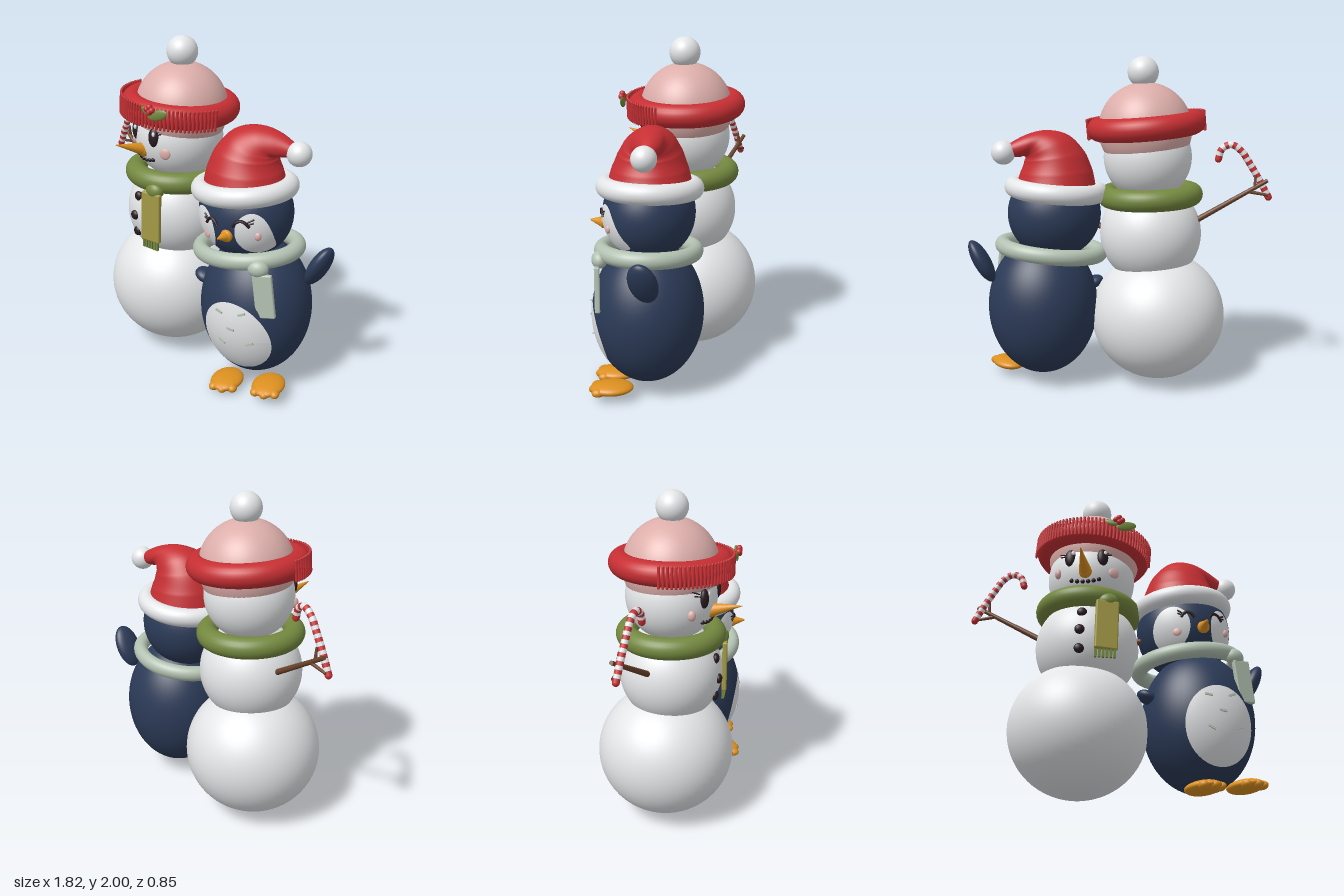
import * as THREE from 'three';
import { mergeGeometries } from 'three/addons/utils/BufferGeometryUtils.js';
import { ParametricGeometry } from 'three/addons/geometries/ParametricGeometry.js';
import { RoundedBoxGeometry } from 'three/addons/geometries/RoundedBoxGeometry.js';

const mat = {};
for (const [name, color] of Object.entries({
  white: 0xe6e8ea, pink: 0xdcaeaa, red: 0xc62f33, olive: 0x74883f, mustard: 0xa39a45,
  navy: 0x2b3a57, sage: 0xb3c2b2, orange: 0xdc9020, brown: 0x6b432c, charcoal: 0x281b21,
})) mat[name] = new THREE.MeshStandardMaterial({ name, color });

const V = (p) => new THREE.Vector3(...p);

function add(parent, name, geo, m, pos = [0, 0, 0], rot = [0, 0, 0], scale = [1, 1, 1]) {
  const mesh = new THREE.Mesh(geo, mat[m]);
  mesh.name = name;
  mesh.position.set(...pos);
  mesh.rotation.set(...rot);
  mesh.scale.set(...scale);
  parent.add(mesh);
  return mesh;
}

// Ellipsoid; r is a radius or three radii
function ball(parent, name, m, pos, r, rot) {
  const s = Array.isArray(r) ? r : [r, r, r];
  const big = Math.max(...s) > 0.06;
  return add(parent, name, new THREE.SphereGeometry(1, big ? 56 : 20, big ? 36 : 14), m, pos, rot, s);
}

// Horizontal ring, tilted about z
function ring(parent, name, m, pos, major, tube, tilt, depth = 1) {
  const geo = new THREE.TorusGeometry(major, tube, 24, 72).rotateX(Math.PI / 2);
  return add(parent, name, geo, m, pos, [0, 0, tilt], [1, 1, depth]);
}

function tube(parent, name, m, points, r) {
  const curve = new THREE.CatmullRomCurve3(points.map(V));
  return add(parent, name, new THREE.TubeGeometry(curve, 16, r, 8), m);
}

// Tapered stick or cone between two points
function stick(parent, name, m, a, b, r0, r1) {
  const d = V(b).sub(V(a));
  const mesh = add(parent, name, new THREE.CylinderGeometry(r1, r0, d.length(), 20), m);
  mesh.position.copy(V(a)).addScaledVector(d, 0.5);
  mesh.quaternion.setFromUnitVectors(new THREE.Vector3(0, 1, 0), d.normalize());
  return mesh;
}

// Point on the front of an ellipsoid {c, r}, raised by lift
function onFront(e, x, y, lift = 0) {
  const u = (x - e.c[0]) / e.r[0], v = (y - e.c[1]) / e.r[1];
  return [x, y, e.c[2] + e.r[2] * Math.sqrt(Math.max(0, 1 - u * u - v * v)) + lift];
}

// Oval painted patch that follows the front of an ellipsoid
function patch(parent, name, m, e, cx, cy, rx, ry, lift) {
  const geo = new THREE.RingGeometry(0.001, 1, 56, 14), p = geo.attributes.position;
  for (let i = 0; i < p.count; i++)
    p.setXYZ(i, ...onFront(e, cx + p.getX(i) * rx, cy + p.getY(i) * ry, lift));
  geo.computeVertexNormals();
  return add(parent, name, geo, m);
}

function buildSnowman() {
  const g = new THREE.Group();
  g.name = 'snowman';
  const chest = { c: [-0.195, 0.93, 0], r: [0.31, 0.31, 0.305] };
  const head = { c: [-0.175, 1.4, 0], r: [0.267, 0.267, 0.267] };
  ball(g, 'lowerBody', 'white', [-0.24, 0.42, -0.025], [0.41, 0.395, 0.408]);
  ball(g, 'chest', 'white', chest.c, chest.r);
  ball(g, 'head', 'white', head.c, head.r);

  // Face
  for (const [x, y, s] of [[-0.325, 1.44, -1], [-0.135, 1.435, 1]]) {
    ball(g, 'eye', 'charcoal', onFront(head, x, y, -0.006), [0.035, 0.058, 0.025], [0, s * 0.3, 0]);
    ball(g, 'eyeHighlight', 'white', onFront(head, x + 0.012, y + 0.025, 0.018), [0.011, 0.014, 0.007]);
    tube(g, 'brow', 'charcoal', [-0.03, 0, 0.03].map((d) =>
      onFront(head, x + d, y + 0.075 - d * d * 12, 0.003)), 0.005);
    for (const k of [0, 1])
      tube(g, 'eyelash', 'charcoal', [onFront(head, x + s * 0.028, y + 0.02 + k * 0.015, 0.004),
        onFront(head, x + s * 0.055, y + 0.03 + k * 0.025, 0.006)], 0.004);
  }
  ball(g, 'cheek', 'pink', onFront(head, -0.392, 1.36), [0.022, 0.032, 0.025]);
  ball(g, 'cheek', 'pink', onFront(head, -0.065, 1.345), [0.034, 0.034, 0.012], [0, 0.4, 0]);
  for (let i = 0; i < 6; i++) {
    const t = (i - 2.5) / 2.5;
    ball(g, 'mouthDot', 'charcoal', onFront(head, -0.235 + t * 0.08, 1.28 + t * t * 0.014), 0.013);
  }
  stick(g, 'carrotNose', 'orange', [-0.235, 1.34, 0.23], [-0.285, 1.397, 0.42], 0.042, 0.002);
  ball(g, 'noseBase', 'orange', [-0.235, 1.34, 0.235], 0.042);
  for (const [x, y] of [[-0.255, 1.05], [-0.27, 0.93], [-0.27, 0.82]])
    ball(g, 'button', 'charcoal', onFront(chest, x, y), [0.03, 0.03, 0.02]);

  // Bobble hat with a ribbed brim
  ball(g, 'hatCrown', 'pink', [-0.158, 1.568, -0.005], [0.283, 0.28, 0.28]);
  ball(g, 'hatPompom', 'white', [-0.145, 1.907, 0], 0.093);
  const brim = new THREE.Group();
  brim.name = 'hatBrim';
  brim.position.set(-0.165, 1.59, -0.003);
  brim.rotation.z = -0.085;
  ring(brim, 'brimRing', 'red', [0, 0, 0], 0.288, 0.07, 0);
  for (let i = 0; i < 46; i++) {
    const a = THREE.MathUtils.degToRad(12 + i * 3.75);
    add(brim, 'brimRib', new THREE.CapsuleGeometry(0.008, 0.115, 3, 8), 'red',
      [Math.cos(a) * 0.357, 0, Math.sin(a) * 0.357]);
  }
  g.add(brim);

  // Holly sprig
  ball(g, 'hollyLeaf', 'olive', [-0.005, 1.61, 0.35], [0.066, 0.03, 0.012], [0, 0.2, 0.3]);
  ball(g, 'hollyLeaf', 'olive', [-0.095, 1.625, 0.358], [0.045, 0.02, 0.01], [0, -0.2, -0.3]);
  for (const [x, y] of [[-0.07, 1.64], [-0.05, 1.655], [-0.032, 1.638], [-0.05, 1.625]])
    ball(g, 'hollyBerry', 'red', [x, y, 0.37], 0.018);

  // Scarf
  ring(g, 'scarf', 'olive', [-0.19, 1.168, 0], 0.257, 0.065, -0.03);
  ball(g, 'scarfKnot', 'olive', [-0.105, 1.125, 0.285], [0.062, 0.05, 0.045]);
  add(g, 'scarfTail', new RoundedBoxGeometry(0.138, 0.31, 0.03, 3, 0.01), 'mustard',
    [-0.115, 0.96, 0.31], [0, 0.1, -0.03]);
  for (let i = 0; i < 6; i++)
    add(g, 'scarfFringe', new THREE.BoxGeometry(0.013, 0.06, 0.016), 'olive',
      [-0.178 + i * 0.022, 0.785, 0.31], [0, 0.1, -0.03]);

  // Twig arms
  stick(g, 'twigArm', 'brown', [-0.45, 1.01, -0.08], [-0.87, 1.27, -0.19], 0.018, 0.012);
  stick(g, 'twigFinger', 'brown', [-0.77, 1.2, -0.165], [-0.88, 1.18, -0.185], 0.011, 0.008);
  stick(g, 'twigFinger', 'brown', [-0.8, 1.225, -0.175], [-0.8, 1.3, -0.165], 0.01, 0.007);
  stick(g, 'hiddenTwigArm', 'brown', [0.02, 0.95, 0.08], [0.118, 0.965, 0.1], 0.02, 0.018);

  // Striped candy cane
  const cane = new THREE.CatmullRomCurve3(
    [[-0.885, 1.165], [-0.83, 1.27], [-0.765, 1.38], [-0.722, 1.443], [-0.665, 1.478], [-0.612, 1.452], [-0.592, 1.39]]
      .map(([x, y]) => new THREE.Vector3(x, y, -0.165 + (x + 0.885) * 0.27)));
  const n = 23, bands = [[], []];
  for (let i = 0; i < n; i++) {
    const pts = [0, 0.5, 1].map((k) => cane.getPointAt((i + k) / n));
    bands[i % 2].push(new THREE.TubeGeometry(new THREE.CatmullRomCurve3(pts), 3, 0.021, 14));
  }
  add(g, 'caneRedBands', mergeGeometries(bands[0]), 'red');
  add(g, 'caneWhiteBands', mergeGeometries(bands[1]), 'white');
  for (const t of [0, 1]) ball(g, 'caneEnd', 'red', cane.getPointAt(t).toArray(), 0.0208);
  return g;
}

function buildPenguin() {
  const g = new THREE.Group();
  g.name = 'penguin';
  const body = { c: [0.468, 0.49, 0.02], r: [0.335, 0.425, 0.322] };
  const head = { c: [0.392, 1.06, 0.037], r: [0.283, 0.275, 0.264] };
  ball(g, 'body', 'navy', body.c, body.r);
  ball(g, 'head', 'navy', head.c, head.r);

  // Belly with short feather marks
  patch(g, 'belly', 'white', body, 0.53, 0.392, 0.202, 0.224, 0.005);
  for (const [x, y, a] of [[0.6, 0.563, 0.4], [0.46, 0.55, -0.2], [0.54, 0.46, -0.1], [0.475, 0.362, -0.45], [0.64, 0.378, 0.4]])
    add(g, 'bellyMark', new THREE.BoxGeometry(0.045, 0.012, 0.012), 'sage',
      onFront(body, x, y, 0.006), [0, (x - 0.47) * 1.8, a]);

  // Face
  patch(g, 'faceLobe', 'white', head, 0.278, 0.995, 0.102, 0.128, 0.004);
  patch(g, 'faceLobe', 'white', head, 0.582, 1.01, 0.074, 0.128, 0.004);
  for (const [x, y, s] of [[0.365, 1.06, -1], [0.54, 1.075, 1]]) {
    tube(g, 'closedEye', 'charcoal', [-0.042, -0.022, 0, 0.022, 0.042].map((d) =>
      onFront(head, x + d, y + 0.02 - d * d * 20, 0.006)), 0.009);
    for (const k of [0, 1])
      tube(g, 'eyelash', 'charcoal', [onFront(head, x + s * 0.03, y + k * 0.012, 0.006),
        onFront(head, x + s * 0.06, y + 0.012 + k * 0.02, 0.008)], 0.005);
  }
  ball(g, 'cheek', 'pink', onFront(head, 0.305, 0.962, 0.004), [0.026, 0.026, 0.01], [0, -0.3, 0]);
  ball(g, 'cheek', 'pink', onFront(head, 0.612, 1.005, 0.004), [0.02, 0.025, 0.016], [0, 0.6, 0]);
  ball(g, 'beakBase', 'orange', [0.46, 0.995, 0.288], [0.037, 0.037, 0.03]);
  stick(g, 'beak', 'orange', [0.46, 0.995, 0.29], [0.466, 1.003, 0.37], 0.035, 0.004);

  // Scarf
  ring(g, 'scarf', 'sage', [0.413, 0.842, 0.032], 0.296, 0.048, 0.11, 0.9);
  ball(g, 'scarfKnot', 'sage', [0.65, 0.835, 0.24], [0.06, 0.05, 0.045], [0, 0.5, 0]);
  add(g, 'scarfTail', new RoundedBoxGeometry(0.112, 0.26, 0.03, 3, 0.008), 'sage',
    [0.695, 0.68, 0.238], [0, 0.4, 0.12]);

  // Flippers and feet
  ball(g, 'leftFlipper', 'navy', [0.832, 0.798, -0.087], [0.05, 0.14, 0.085], [0, 0, -0.48]);
  ball(g, 'rightFlipper', 'navy', [0.15, 0.6, 0.12], [0.065, 0.038, 0.06], [0, 0, -0.4]);
  for (const [x, y, z] of [[0.432, 0.042, 0.235], [0.69, 0.078, 0.165]]) {
    const foot = new THREE.Group();
    foot.name = 'foot';
    foot.position.set(x, y, z);
    foot.rotation.set(0, 0.4, 0.06);
    ball(foot, 'footPad', 'orange', [0, 0, 0], [0.096, 0.037, 0.125]);
    for (const s of [-1, 0, 1])
      ball(foot, 'toe', 'orange', [s * 0.055, -0.006, 0.092 - Math.abs(s) * 0.016], [0.03, 0.026, 0.04], [0, s * 0.3, 0]);
    g.add(foot);
  }

  // Floppy hat: rings of radius r, leaning over along a bent path
  const keys = [[0.385, 1.2, 0.035, 0.25, 0], [0.377, 1.32, 0.035, 0.218, 0.03], [0.388, 1.41, 0.03, 0.183, 0.14],
    [0.432, 1.47, 0.02, 0.146, 0.45], [0.505, 1.49, 0.0, 0.1, 0.87], [0.565, 1.48, -0.02, 0.078, 1.13],
    [0.62, 1.465, -0.035, 0.055, 1.36], [0.68, 1.445, -0.045, 0.03, 1.6]];
  const path = new THREE.CatmullRomCurve3(keys.map((k) => V(k.slice(0, 3))));
  const lean = new THREE.CatmullRomCurve3(keys.map((k) => new THREE.Vector3(k[3], k[4], 0)));
  const p = new THREE.Vector3(), q = new THREE.Vector3();
  add(g, 'floppyHat', new ParametricGeometry((u, v, out) => {
    const a = u * Math.PI * 2;
    path.getPoint(v, p);
    lean.getPoint(v, q);
    const c = Math.cos(a) * q.x;
    out.set(p.x + c * Math.cos(q.y), p.y - c * Math.sin(q.y), p.z - Math.sin(a) * q.x);
  }, 56, 40), 'red');
  ring(g, 'hatFurTrim', 'white', [0.378, 1.205, 0.036], 0.256, 0.058, 0.085, 0.98);
  ball(g, 'hatPompom', 'white', [0.692, 1.44, -0.047], 0.071);
  return g;
}

export function createModel() {
  const model = new THREE.Group();
  model.name = 'winterFriends';
  model.add(buildSnowman(), buildPenguin());
  return model;
}
